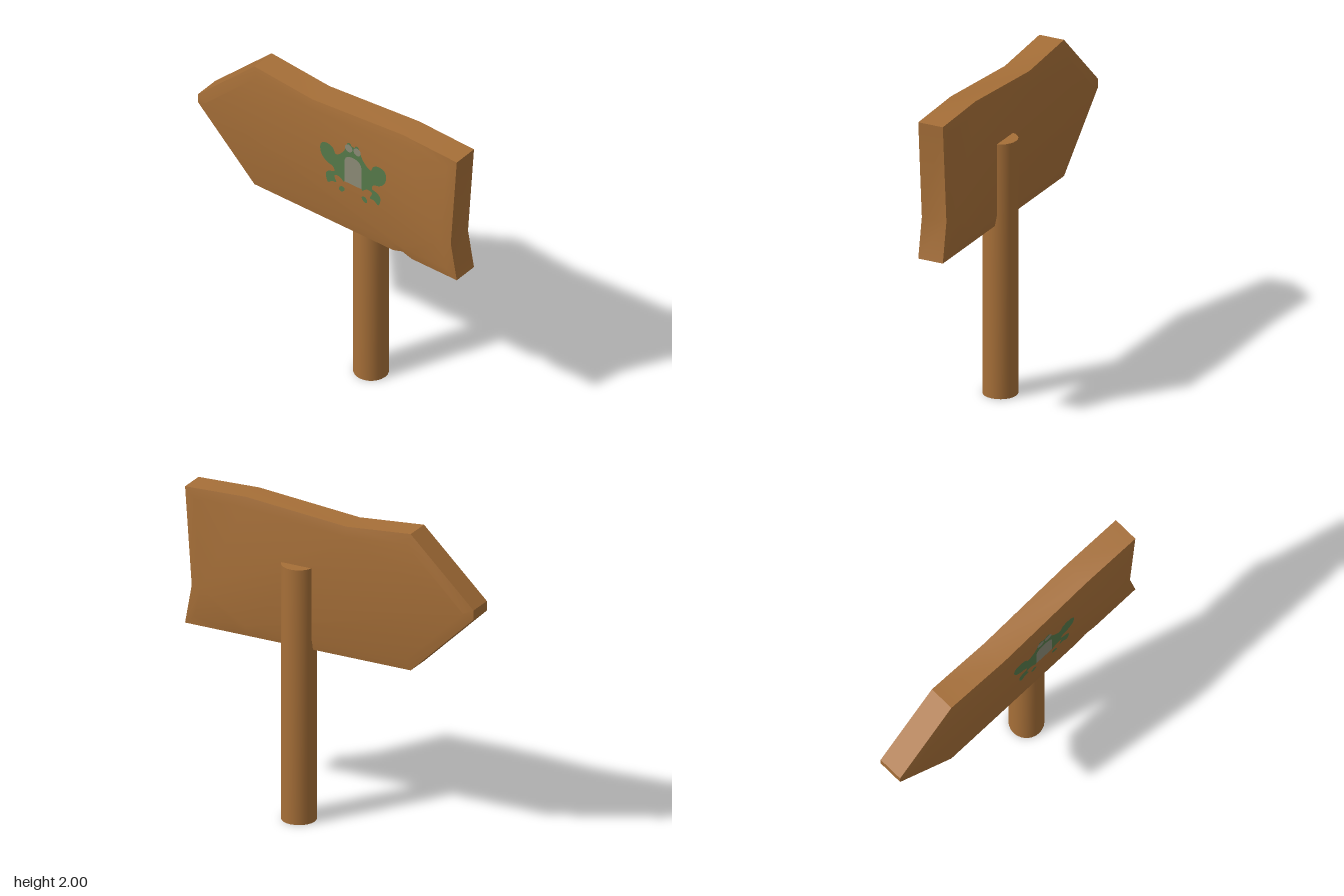
import * as THREE from 'three';
import { toCreasedNormals } from 'three/addons/utils/BufferGeometryUtils.js';

const material = (name, color, side = THREE.FrontSide) => {
  const m = new THREE.MeshStandardMaterial({ color, side });
  m.name = name;
  return m;
};

export function createModel() {
  const wood = material('wood', 0xa66f38);
  const green = material('frog green', 0x55794a, THREE.DoubleSide);
  const pale = material('pale belly', 0x8b8a76, THREE.DoubleSide);

  const model = new THREE.Group();
  model.name = 'signpost';
  const add = (name, geometry, mat, parent = model) => {
    const mesh = new THREE.Mesh(geometry, mat);
    mesh.name = name;
    parent.add(mesh);
    return mesh;
  };
  const vectors = (pts) => pts.map(([x, y]) => new THREE.Vector2(x, y));

  // Round post, behind the board and running partly into it
  const post = new THREE.CylinderGeometry(0.107, 0.107, 1.635, 24);
  add('post', toCreasedNormals(post, 0.6), wood).position.set(0.21, 0.8175, -0.028);

  // Arrow-shaped board with shallow bevelled faces
  const outline = vectors([
    [-0.98, 1.52], [-0.555, 1.11], [0.49, 1.11], [0.56, 1.11], [0.63, 1.11], [0.97, 1.11],
    [0.925, 1.36], [0.97, 1.985], [0.56, 2], [-0.12, 1.945], [-0.555, 1.985], [-0.98, 1.58],
  ]);
  const board = new THREE.ExtrudeGeometry(new THREE.Shape(outline), {
    depth: 0.165, bevelEnabled: true, bevelSegments: 1,
    bevelThickness: 0.012, bevelSize: 0.065, bevelOffset: -0.065,
  });
  board.translate(0, 0, -0.047);
  // Small chip in the lower front edge
  const p = board.attributes.position;
  for (let i = 0; i < p.count; i++) {
    if (Math.abs(p.getX(i) - 0.56) < 0.01 && p.getY(i) < 1.12 && p.getZ(i) > 0.1) p.setY(i, 1.132);
  }
  add('arrowBoard', toCreasedNormals(board, 0.5), wood);

  // Painted frog, drawn around its own centre line in hundredths of the board scale
  const frog = new THREE.Group();
  frog.name = 'paintedFrog';
  frog.position.set(0.2, 1.55, 0.132);
  frog.scale.set(0.00528, 0.00528, 1);
  model.add(frog);
  const flat = (pts) => new THREE.ShapeGeometry(new THREE.Shape(pts));
  const smooth = (pts, n) => new THREE.SplineCurve(vectors(pts)).getPoints(n);

  // Head, thigh and hind foot on one side, mirrored to close the body
  const half = smooth([
    [0, 37], [9, 36], [12, 28], [18, 20], [25, 16], [29, 23], [36, 26], [44, 24], [47, 17],
    [45, 7], [38, 0], [29, -3], [27, -9], [35, -12], [39, -18], [36, -28], [30, -24],
    [24, -23], [27, -15], [20, -13], [13, -18], [12, -16], [0, -16],
  ], 88);
  const mirrored = half.slice(1, -1).reverse().map((v) => new THREE.Vector2(-v.x, v.y));
  add('frogBody', flat([...half, ...mirrored]), green, frog);

  // Belly with a rounded top
  const belly = new THREE.Shape();
  belly.moveTo(-12, -16);
  belly.lineTo(12, -16);
  belly.lineTo(12, 13);
  belly.quadraticCurveTo(11, 22, 0, 22);
  belly.quadraticCurveTo(-11, 22, -12, 13);
  add('frogBelly', new THREE.ShapeGeometry(belly), pale, frog).position.z = 0.002;

  for (const s of [-1, 1]) {
    add('frogEye', new THREE.CircleGeometry(5.2, 20), pale, frog).position.set(s * 6, 33, 0.002);
    add('frogBrow', new THREE.CircleGeometry(3, 12), green, frog).position.set(s * 5.5, 37.5, 0.001);
    const foot = smooth([[12, -27], [15, -25], [19, -27], [20, -31], [17, -33], [13, -30], [12, -27]], 24)
      .slice(0, -1).map((v) => new THREE.Vector2(s * v.x, v.y));
    add('frogFrontFoot', flat(foot), green, frog);
  }
  return model;
}
